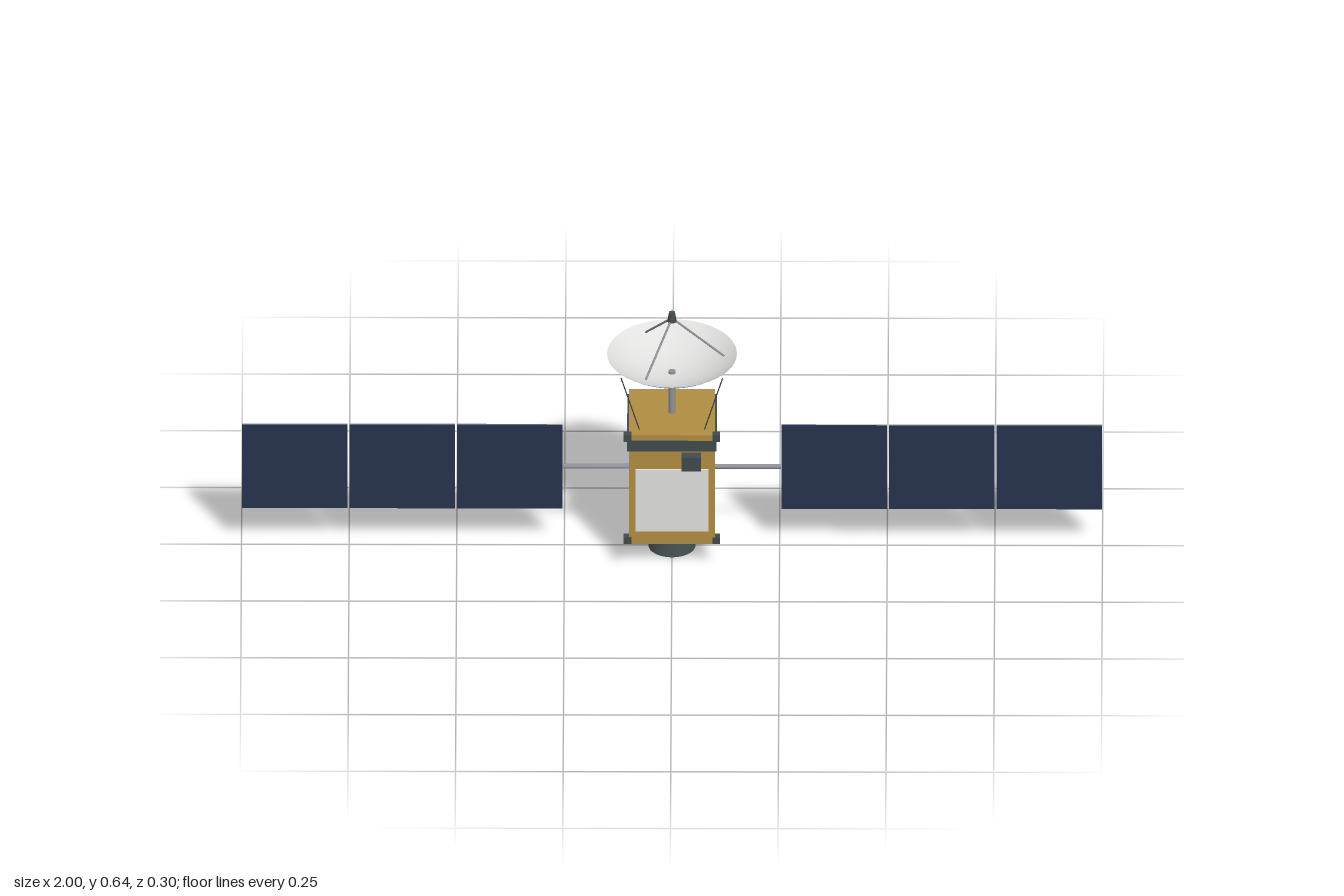
import * as THREE from 'three';

const mat = (name, color, side = THREE.FrontSide) => {
  const m = new THREE.MeshStandardMaterial({ color, side });
  m.name = name;
  return m;
};

export function createModel() {
  const gold = mat('gold foil', 0xb08d42);
  const dark = mat('dark metal', 0x424a4c);
  const grey = mat('grey metal', 0x8f9196);
  const blue = mat('solar cell blue', 0x26334d);
  const white = mat('white', 0xe0e0de, THREE.DoubleSide);

  const model = new THREE.Group();
  model.name = 'satellite';

  const add = (name, geometry, material, x = 0, y = 0, z = 0) => {
    const mesh = new THREE.Mesh(geometry, material);
    mesh.name = name;
    mesh.position.set(x, y, z);
    model.add(mesh);
    return mesh;
  };
  const box = (name, material, w, h, d, x, y, z) =>
    add(name, new THREE.BoxGeometry(w, h, d), material, x, y, z);

  // Round rod running between two points
  const rod = (name, material, from, to, radius, endRadius = radius) => {
    const a = new THREE.Vector3(...from), b = new THREE.Vector3(...to);
    const dir = b.clone().sub(a);
    const mesh = add(name, new THREE.CylinderGeometry(endRadius, radius, dir.length(), 16), material);
    mesh.position.copy(a).add(b).multiplyScalar(0.5);
    mesh.quaternion.setFromUnitVectors(new THREE.Vector3(0, 1, 0), dir.normalize());
    return mesh;
  };

  // Shallow spherical bowl with its lowest point at the origin, opening along +y
  const bowl = (radius, depth) => {
    const R = (radius * radius + depth * depth) / (2 * depth);
    const sweep = Math.asin(radius / R);
    const points = [];
    for (let i = 0; i <= 16; i++) {
      const a = (sweep * i) / 16;
      points.push(new THREE.Vector2(R * Math.sin(a), R * (1 - Math.cos(a))));
    }
    return new THREE.LatheGeometry(points, 48);
  };

  // Body, collar and engine
  box('body', gold, 0.2, 0.297, 0.204, 0, 0.2145, 0);
  box('collar', dark, 0.208, 0.028, 0.208, 0, 0.334, 0);
  add('engineNozzle', new THREE.CylinderGeometry(0.03, 0.055, 0.066, 32), dark, 0, 0.033, 0);

  // Front equipment
  box('radiatorPlate', white, 0.17, 0.168, 0.005, 0, 0.187, 0.104);
  box('sensor', dark, 0.046, 0.036, 0.026, 0.045, 0.298, 0.114);

  // Main dish on its mast
  rod('mast', grey, [0, 0.36, 0], [0, 0.476, 0], 0.008);
  add('mainDish', bowl(0.151, 0.053), white, 0, 0.47, 0);
  for (let i = 0; i < 3; i++) {
    const a = (i * Math.PI * 2) / 3;
    rod('feedStrut', grey, [0.121 * Math.cos(a), 0.517, 0.121 * Math.sin(a)], [0, 0.62, 0], 0.0025);
  }
  add('feedHorn', new THREE.CylinderGeometry(0.007, 0.011, 0.024, 20), dark, 0, 0.624, 0);

  // Small dish on the back
  rod('rearDishArm', grey, [0, 0.27, -0.1], [0, 0.27, -0.116], 0.005);
  add('rearDish', bowl(0.057, 0.021), white, 0, 0.27, -0.112).rotation.x = -Math.PI / 2;

  // Mirrored parts
  for (const s of [-1, 1]) {
    for (const y of [0.075, 0.354]) {
      box('thrusterBlock', dark, 0.018, 0.018, 0.018, s * 0.103, y, 0.094);
    }
    rod('whipAntenna', dark, [s * 0.075, 0.36, 0.075], [s * 0.118, 0.529, 0.118], 0.0014);
    rod('panelBoom', grey, [s * 0.095, 0.215, 0], [s * 0.253, 0.215, 0], 0.006);
    // Three panels a side: grey backing with a thin sheet of cells on the front
    for (let i = 0; i < 3; i++) {
      const x = s * (0.3765 + i * 0.25);
      box('panelBacking', grey, 0.245, 0.227, 0.004, x, 0.215, -0.001);
      box('panelCells', blue, 0.245, 0.227, 0.003, x, 0.215, 0.0025);
    }
  }
  return model;
}
